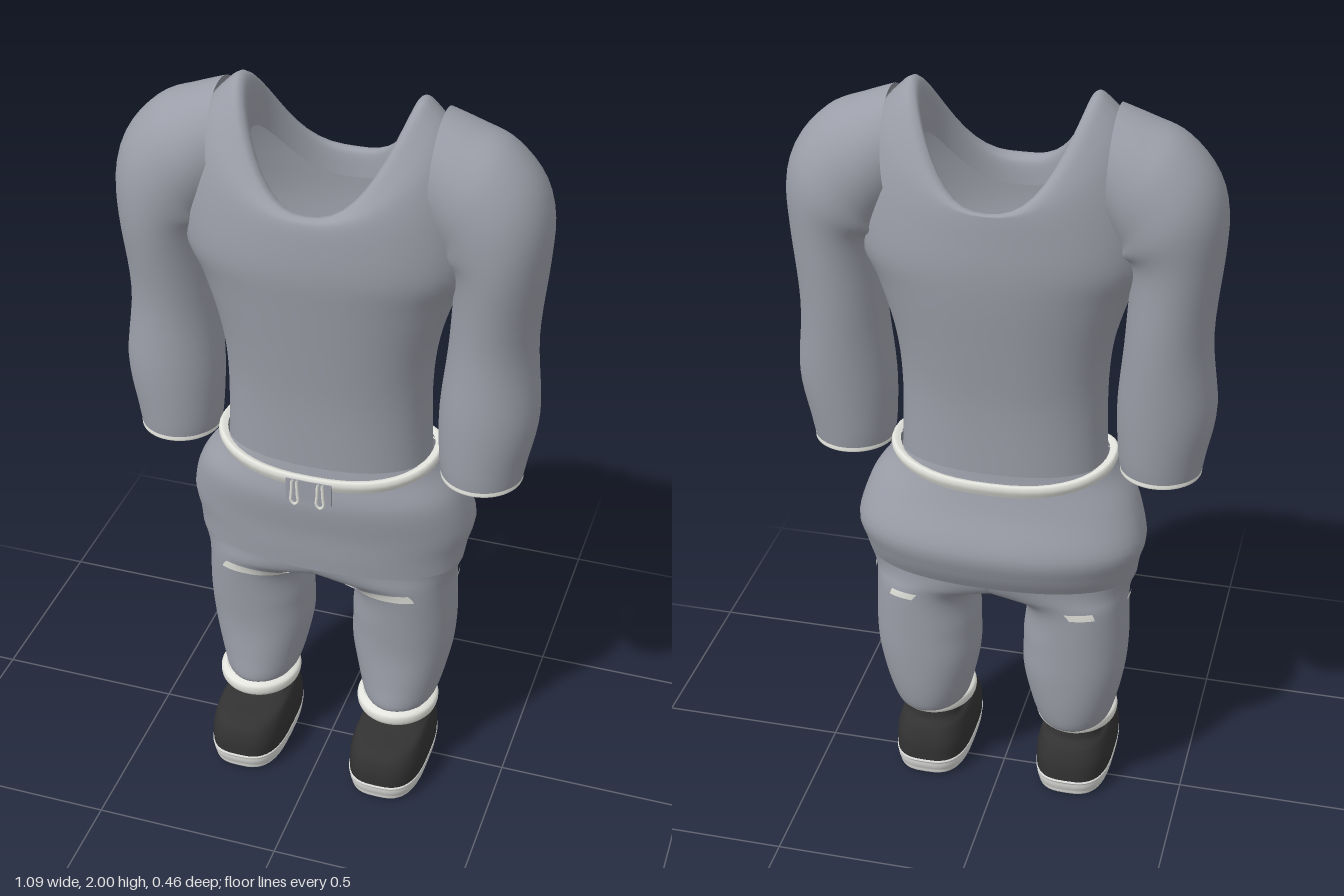
import * as THREE from 'three';

const mat = (name, color) => Object.assign(new THREE.MeshStandardMaterial({ color, side: THREE.DoubleSide }), { name });
const SIDES = 48;

// Catmull-Rom blend of section rows; t runs from 0 to rows.length - 1
function sample(rows, t) {
  const last = rows.length - 1;
  const i = Math.min(Math.floor(t), last - 1), f = t - i;
  const at = (k) => rows[Math.max(0, Math.min(last, k))];
  const [a, b, c, d] = [at(i - 1), at(i), at(i + 1), at(i + 2)];
  const defaults = [0, 0, 0, 0, 0, 0, 2, 0];
  return defaults.map((def, k) => {
    const [p, q, r, s] = [a, b, c, d].map((row) => row[k] ?? def);
    const m0 = (r - p) / 2, m1 = (s - q) / 2;
    return (2 * q - 2 * r + m0 + m1) * f ** 3 + (-3 * q + 3 * r - 2 * m0 - m1) * f * f + m0 * f + q;
  });
}

// Skin over cross-sections, listed from top to bottom:
// [cx, cy, cz, radius, depth radius, tilt in degrees, squareness, side lift]
function loft(rows, { t0 = 0, t1 = rows.length - 1, a0 = 0, a1 = Math.PI * 2, grow = 0, minX = -9, steps = 5 } = {}) {
  const closed = a1 - a0 > 6.28;
  const n = closed ? SIDES : 16, stride = closed ? n : n + 1;
  const rings = Math.max(4, Math.round((t1 - t0) * steps));
  const pos = [], index = [];
  for (let i = 0; i <= rings; i++) {
    const [cx, cy, cz, ru, rz, tilt, sq, lift] = sample(rows, t0 + ((t1 - t0) * i) / rings);
    const ang = THREE.MathUtils.degToRad(tilt);
    for (let j = 0; j < stride; j++) {
      const a = a0 + ((a1 - a0) * j) / n, c = Math.cos(a), s = Math.sin(a);
      const u = Math.sign(c) * Math.abs(c) ** (2 / sq) * (ru + grow);
      const w = Math.sign(s) * Math.abs(s) ** (2 / sq) * (rz + grow);
      pos.push(Math.max(minX, cx + u * Math.cos(ang)), cy + u * Math.sin(ang) + lift * Math.abs(c) ** 2.5, cz + w);
    }
  }
  for (let i = 0; i < rings; i++) {
    for (let j = 0; j < n; j++) {
      const k = (j + 1) % stride;
      const a = i * stride + j, b = i * stride + k, c = a + stride, d = b + stride;
      index.push(a, b, c, b, d, c);
    }
  }
  const g = new THREE.BufferGeometry();
  g.setAttribute('position', new THREE.Float32BufferAttribute(pos, 3));
  g.setIndex(index);
  g.computeVertexNormals();
  return g;
}

// Shirt body: inner collar, up over the neck edge, down to the waist
const TORSO = [
  [0, 1.68, 0, 0.2, 0.165, 0, 2, 0.18],
  [0, 1.735, 0, 0.2, 0.17, 0, 2, 0.23],
  [0, 1.75, 0.005, 0.22, 0.185, 0, 2, 0.25],
  [0, 1.75, 0.005, 0.25, 0.2, 0, 2, 0.235],
  [0, 1.74, 0.01, 0.31, 0.208, 0, 2, 0.17],
  [0, 1.69, 0.012, 0.355, 0.213, 0, 2, 0.08],
  [0, 1.6, 0.012, 0.365, 0.215, 0, 2.1, 0],
  [0, 1.5, 0.01, 0.32, 0.205, 0, 2.2, 0],
  [0, 1.35, 0.01, 0.275, 0.185, 0, 2.3, 0],
  [0, 1.2, 0.01, 0.262, 0.168, 0, 2.3, 0],
  [0, 1.0, 0.008, 0.268, 0.16, 0, 2.3, 0],
];
// Sleeve: out of the shoulder, then straight down
const SLEEVE = [
  [0.27, 1.82, 0, 0.155, 0.13, 88],
  [0.32, 1.79, 0, 0.16, 0.145, 78],
  [0.365, 1.76, 0, 0.165, 0.152, 62],
  [0.405, 1.7, 0, 0.152, 0.155, 35],
  [0.425, 1.6, 0.005, 0.116, 0.145, 8],
  [0.415, 1.4, 0, 0.108, 0.128, 0],
  [0.415, 1.2, 0.012, 0.125, 0.122, 0],
  [0.406, 1.06, 0.018, 0.112, 0.112, 0],
  [0.405, 1.003, 0.02, 0.103, 0.105, 0],
];
const SLEEVE_CUFF = [
  [0.405, 1.012, 0.02, 0.104, 0.107],
  [0.405, 1.0, 0.02, 0.104, 0.107],
  [0.405, 1.004, 0.02, 0.094, 0.096],
];
const HIPS = [
  [0, 1.03, 0.005, 0.275, 0.165, 0, 2.3],
  [0, 0.99, 0.005, 0.3, 0.172, 0, 2.3],
  [0, 0.92, 0, 0.35, 0.188, 0, 2.3],
  [0, 0.82, -0.025, 0.38, 0.2, 0, 2.3],
  [0, 0.75, -0.02, 0.366, 0.19, 0, 2.3],
  [0, 0.7, -0.01, 0.358, 0.175, 0, 2.3],
];
const WAISTBAND = [
  [0, 1.005, 0.006, 0.272, 0.165, 0, 2.3, 0.03],
  [0, 1.01, 0.006, 0.29, 0.182, 0, 2.3, 0.03],
  [0, 0.995, 0.006, 0.296, 0.186, 0, 2.3, 0.03],
  [0, 0.975, 0.006, 0.288, 0.178, 0, 2.3, 0.03],
];
// Trouser leg: starts as half of the hip outline, then rounds off
const LEG = [
  [0, 0.7, -0.01, 0.358, 0.175, 0, 2.3],
  [0.12, 0.665, -0.01, 0.225, 0.162, 0, 2.2],
  [0.197, 0.62, -0.015, 0.142, 0.148, 0, 2.2],
  [0.203, 0.5, -0.02, 0.14, 0.138, 0, 2.2],
  [0.2, 0.4, -0.022, 0.137, 0.132, 0, 2.2],
  [0.2, 0.3, -0.015, 0.118, 0.13, 0, 2.1],
  [0.2, 0.235, -0.005, 0.1, 0.125],
  [0.2, 0.215, 0, 0.085, 0.105],
];
const LEG_CUFF = [
  [0.2, 0.235, 0.022, 0.095, 0.105],
  [0.2, 0.225, 0.024, 0.11, 0.118],
  [0.2, 0.2, 0.024, 0.108, 0.116],
  [0.2, 0.188, 0.02, 0.09, 0.1],
  [0.2, 0.192, 0.0, 0.074, 0.08],
];
const SHOE = [
  [0.2, 0.192, 0, 0.07, 0.078],
  [0.2, 0.168, 0, 0.074, 0.082, 0, 2.2],
  [0.2, 0.157, 0.018, 0.08, 0.11, 0, 2.5],
  [0.2, 0.142, 0.05, 0.093, 0.155, 0, 2.8],
  [0.2, 0.1, 0.055, 0.103, 0.174, 0, 3],
  [0.2, 0.045, 0.055, 0.103, 0.176, 0, 3],
];
const SOLE = [
  [0.2, 0.055, 0.055, 0.001, 0.001, 0, 3],
  [0.2, 0.053, 0.055, 0.095, 0.165, 0, 3],
  [0.2, 0.042, 0.055, 0.103, 0.177, 0, 3],
  [0.2, 0.018, 0.055, 0.1, 0.172, 0, 3],
  [0.2, 0.0, 0.055, 0.085, 0.152, 0, 3],
  [0.2, 0.0, 0.055, 0.001, 0.001, 0, 3],
];

export function createModel() {
  const cloth = mat('grey cloth', 0x9b9ea8);
  const trim = mat('pale trim', 0xe4e4de);
  const leather = mat('black leather', 0x323232);
  const rubber = mat('sole rubber', 0xd6d6d4);

  const model = new THREE.Group();
  model.name = 'tracksuit';
  const add = (parent, name, geometry, material) => {
    const mesh = new THREE.Mesh(geometry, material);
    mesh.name = name;
    parent.add(mesh);
    return mesh;
  };

  add(model, 'shirtBody', loft(TORSO), cloth);
  add(model, 'hips', loft(HIPS), cloth);
  add(model, 'waistband', loft(WAISTBAND), trim);

  // Drawstring with two hanging loops on a small panel
  add(model, 'drawstringPanel', new THREE.BoxGeometry(0.12, 0.065, 0.008), cloth).position.set(0, 0.968, 0.19);
  for (const x of [-0.036, 0.032]) {
    const loop = new THREE.CatmullRomCurve3([[-0.006, 1.0], [-0.008, 0.96], [-0.009, 0.937], [0, 0.928], [0.009, 0.937], [0.008, 0.96], [0.006, 1.0]]
      .map(([dx, y]) => new THREE.Vector3(x + dx, y, 0.198)));
    add(model, 'drawstring', new THREE.TubeGeometry(loop, 24, 0.004, 6), trim);
  }

  // Both sides: sleeve, trouser leg with torn patches, cuff and shoe
  for (const side of [1, -1]) {
    const half = new THREE.Group();
    half.name = side > 0 ? 'leftSide' : 'rightSide';
    half.scale.x = side;
    model.add(half);
    add(half, 'sleeve', loft(SLEEVE), cloth);
    add(half, 'sleeveCuff', loft(SLEEVE_CUFF), trim);
    add(half, 'trouserLeg', loft(LEG, { minX: 0, steps: 7 }), cloth);
    const tears = [[1.12, 2.3, 1.5, 1.97], [-0.2, 0.0, 1.6, 1.85], [-1.5, -1.05, 1.7, 2.0]];
    for (const [a0, a1, t0, t1] of tears) {
      add(half, 'tornPatch', loft(LEG, { a0, a1, t0, t1, grow: 0.006 }), trim);
    }
    add(half, 'legCuff', loft(LEG_CUFF), trim);
    add(half, 'shoe', loft(SHOE), leather);
    add(half, 'sole', loft(SOLE), rubber);
  }
  return model;
}
